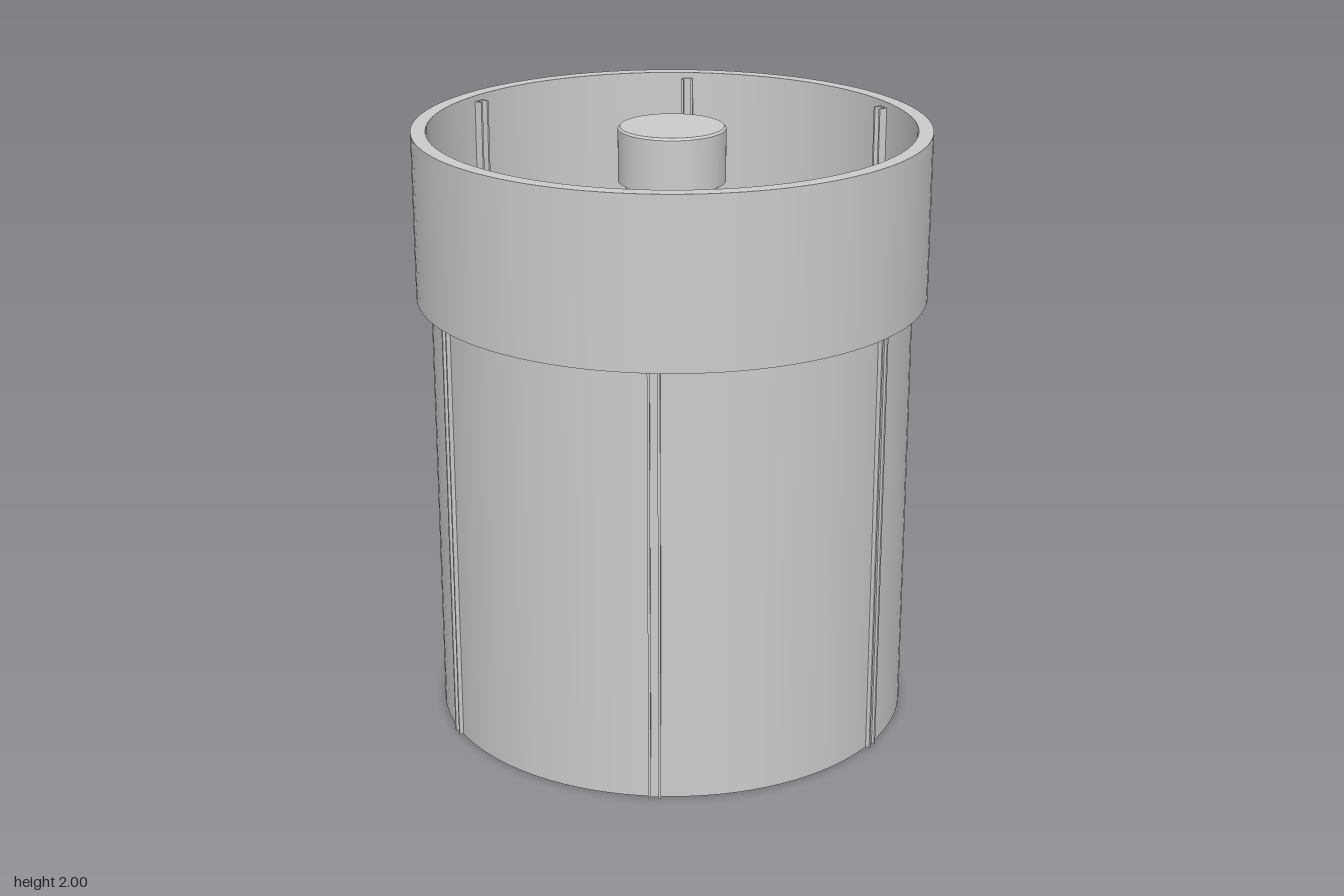
import * as THREE from 'three';

const SEG = 96;
const mat = new THREE.MeshStandardMaterial({ color: 0xcccccc, side: THREE.DoubleSide });

function add(parent, name, geometry) {
  const mesh = new THREE.Mesh(geometry, mat);
  mesh.name = name;
  parent.add(mesh);
  return mesh;
}

// Revolve straight segments separately so that profile corners stay sharp
function revolve(parent, name, points) {
  const part = new THREE.Group();
  part.name = name;
  for (let i = 0; i < points.length - 1; i++) {
    const pair = [points[i], points[i + 1]].map(([r, y]) => new THREE.Vector2(r, y));
    add(part, name + 'Face', new THREE.LatheGeometry(pair, SEG));
  }
  parent.add(part);
}

// H-shaped joining strip: two radial legs and a tangential web, pointing along +x
function jointGeometry(inner, outer, web, height) {
  const half = 0.02, leg = 0.008, w = 0.004;
  const outline = [
    [inner, -half], [outer, -half], [outer, -half + leg], [web + w, -half + leg],
    [web + w, half - leg], [outer, half - leg], [outer, half], [inner, half],
    [inner, half - leg], [web - w, half - leg], [web - w, -half + leg], [inner, -half + leg],
  ].map(([x, y]) => new THREE.Vector2(x, y));
  const geo = new THREE.ExtrudeGeometry(new THREE.Shape(outline), { depth: height, bevelEnabled: false });
  return geo.rotateX(-Math.PI / 2);
}

// Thin round wall with six joining strips
function wall(parent, name, radius, inner, outer, height) {
  const part = new THREE.Group();
  part.name = name;
  const skin = new THREE.CylinderGeometry(radius, radius, height, SEG, 1, true);
  add(part, name + 'Panels', skin.translate(0, height / 2, 0));
  const joint = jointGeometry(inner, outer, radius, height);
  for (let i = 0; i < 6; i++) {
    add(part, name + 'Joint', joint).rotation.y = (i * Math.PI) / 3;
  }
  parent.add(part);
}

export function createModel() {
  const model = new THREE.Group();
  model.name = 'cylindricalHousing';

  // Outer shell and central column
  wall(model, 'outerShell', 0.79, 0.763, 0.803, 1.98);
  wall(model, 'centralColumn', 0.132, 0.115, 0.157, 1.98);

  // Collar around the top of the shell, open underneath
  revolve(model, 'topCollar', [
    [0.826, 1.45], [0.838, 1.45], [0.838, 2], [0.79, 2], [0.79, 1.98], [0.826, 1.98], [0.826, 1.45],
  ]);

  // Cap over the column, with a slight chamfer
  revolve(model, 'columnCap', [
    [0.163, 1.82], [0.175, 1.82], [0.175, 1.993], [0.168, 2], [0, 2],
  ]);
  revolve(model, 'columnCapInside', [[0.163, 1.82], [0.163, 1.98], [0, 1.98]]);

  return model;
}
